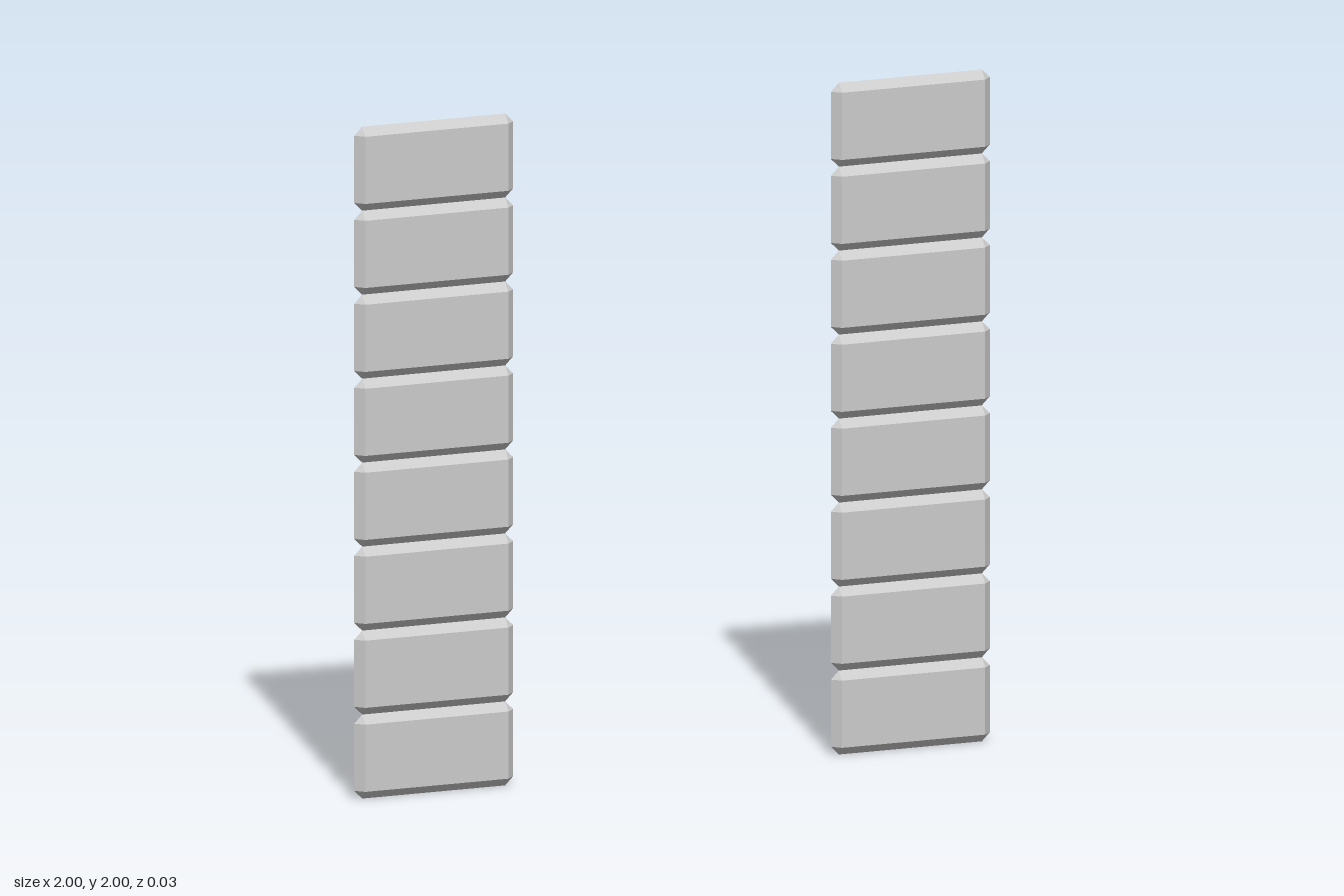
import * as THREE from 'three';
import { ConvexGeometry } from 'three/addons/geometries/ConvexGeometry.js';

const WIDTH = 0.5, HEIGHT = 0.25, DEPTH = 0.025, BEVEL = 0.025, COUNT = 8;

// Block with a flat back, bevelled sides and cut corners
function blockGeometry() {
  const w = WIDTH / 2, h = HEIGHT / 2, d = DEPTH / 2;
  const points = [];
  for (const sx of [-1, 1]) {
    for (const sy of [-1, 1]) {
      points.push(
        new THREE.Vector3(sx * w, sy * (h - BEVEL), -d),
        new THREE.Vector3(sx * (w - BEVEL), sy * h, -d),
        new THREE.Vector3(sx * (w - BEVEL), sy * (h - BEVEL), d)
      );
    }
  }
  return new ConvexGeometry(points);
}

export function createModel() {
  const model = new THREE.Group();
  model.name = 'quoinColumns';
  const material = new THREE.MeshStandardMaterial({ color: 0xcccccc, flatShading: true });
  const geometry = blockGeometry();

  // Two matching columns of stacked blocks
  for (const side of [-1, 1]) {
    const column = new THREE.Group();
    column.name = side > 0 ? 'leftColumn' : 'rightColumn';
    column.position.x = side * 0.75;
    for (let i = 0; i < COUNT; i++) {
      const block = new THREE.Mesh(geometry, material);
      block.name = `block${i + 1}`;
      block.position.y = (i + 0.5) * HEIGHT;
      column.add(block);
    }
    model.add(column);
  }
  return model;
}
